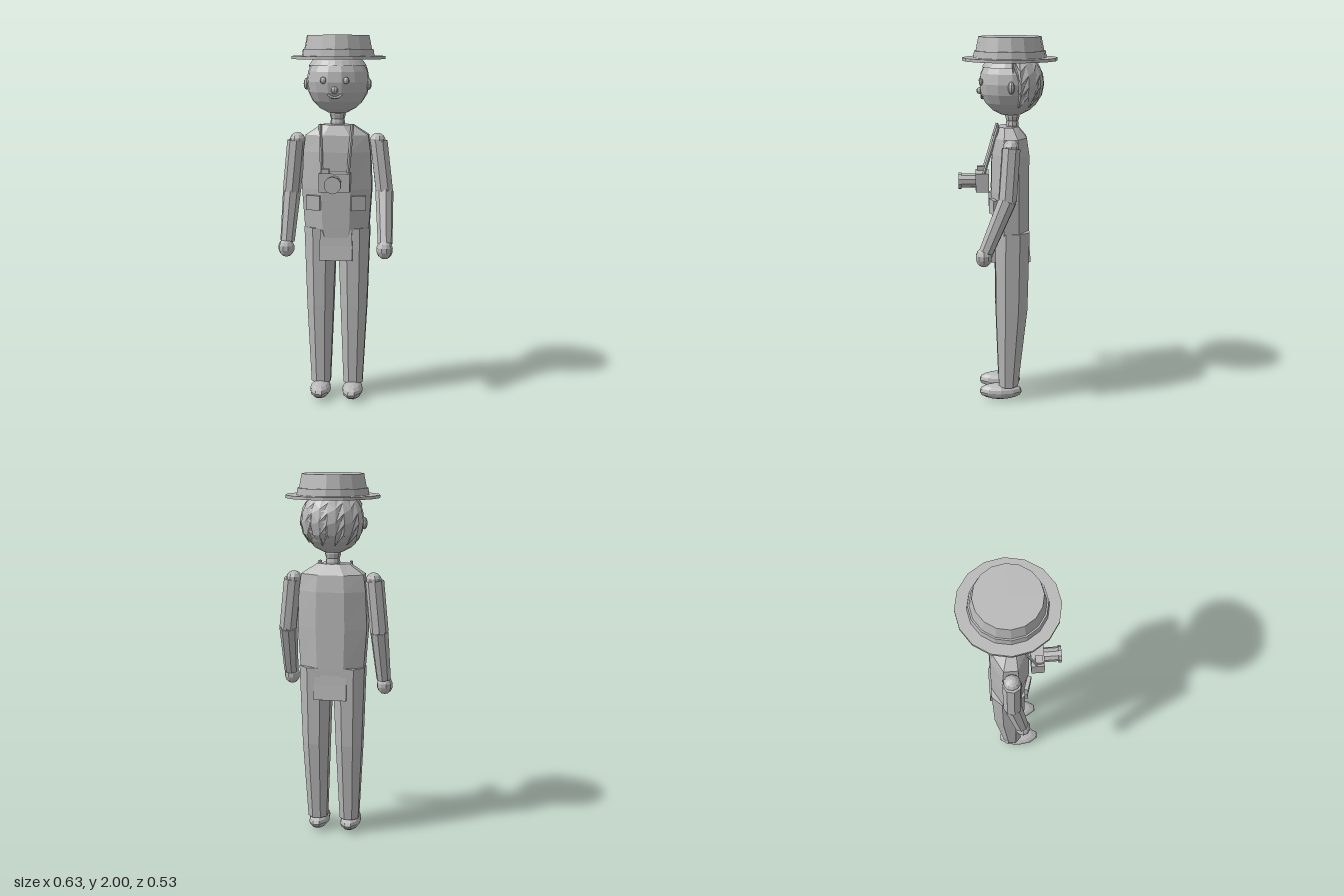
import * as THREE from 'three';

const grey = new THREE.MeshStandardMaterial({ color: 0xb8b8b8, flatShading: true, side: THREE.DoubleSide });
grey.name = 'plain grey';

function add(parent, name, geometry, x = 0, y = 0, z = 0) {
  const mesh = new THREE.Mesh(geometry, grey);
  mesh.name = name;
  mesh.position.set(x, y, z);
  parent.add(mesh);
  return mesh;
}

// Closed body through sections [y, x, z, halfWidth, halfDepth], listed from top to bottom
function loft(sections, sides) {
  const rows = sections.length - 1;
  const g = new THREE.CylinderGeometry(1, 1, 1, sides, rows, false, Math.PI / sides);
  const p = g.attributes.position;
  const fit = 1 / Math.cos(Math.PI / sides);
  for (let i = 0; i < p.count; i++) {
    const [y, x, z, rx, rz] = sections[Math.round((0.5 - p.getY(i)) * rows)];
    p.setXYZ(i, x + p.getX(i) * rx * fit, y, z + p.getZ(i) * rz * fit);
  }
  g.computeVertexNormals();
  return g;
}

const ball = (rx, ry, rz, w = 10, h = 7) => new THREE.SphereGeometry(1, w, h).scale(rx, ry, rz);

// Tapered rod between two points
function rod(parent, name, a, b, ra, rb, sides = 8) {
  const from = new THREE.Vector3(...a), to = new THREE.Vector3(...b);
  const dir = to.clone().sub(from);
  const mesh = add(parent, name, new THREE.CylinderGeometry(rb, ra, dir.length(), sides));
  mesh.position.copy(from).add(to).multiplyScalar(0.5);
  mesh.quaternion.setFromUnitVectors(new THREE.Vector3(0, 1, 0), dir.normalize());
  return mesh;
}

// Hair shell: short fringe in front, zigzag locks at the back
function hairGeometry(r) {
  const columns = 24, rows = 6;
  const g = new THREE.CylinderGeometry(1, 1, 1, columns, rows, true);
  const p = g.attributes.position;
  for (let i = 0; i < p.count; i++) {
    const column = i % (columns + 1);
    const phi = (column / columns) * Math.PI * 2;
    const back = Math.cos(phi) < -0.05;
    const rim = back ? (column % 2 ? 2.35 : 1.95) : 1.07;
    const theta = (0.5 - p.getY(i)) * rim;
    p.setXYZ(i, r * Math.sin(theta) * Math.sin(phi), r * Math.cos(theta), r * Math.sin(theta) * Math.cos(phi));
  }
  g.computeVertexNormals();
  return g;
}

function buildHead() {
  const head = new THREE.Group();
  head.name = 'head';
  add(head, 'skull', ball(0.168, 0.175, 0.173, 14, 10), 0, 1.755, -0.02);
  add(head, 'hair', hairGeometry(0.177), 0, 1.755, -0.02);
  add(head, 'nose', ball(0.019, 0.019, 0.019, 8, 6), 0, 1.715, 0.146);
  for (const s of [1, -1]) {
    add(head, 'eye', ball(0.018, 0.018, 0.012, 8, 6), s * 0.06, 1.765, 0.14);
    add(head, 'ear', ball(0.018, 0.033, 0.018, 8, 6), s * 0.166, 1.742, -0.015);
  }
  const smile = new THREE.TorusGeometry(0.05, 0.008, 5, 8, 1.75).rotateZ(-Math.PI / 2 - 0.875);
  add(head, 'mouth', smile, 0, 1.725, 0.134);
  add(head, 'upperNeck', ball(0.044, 0.045, 0.04, 10, 6), 0, 1.58, -0.027);
  add(head, 'lowerNeck', ball(0.04, 0.05, 0.036, 10, 6), 0, 1.535, -0.027);
  return head;
}

function buildHat() {
  const hat = new THREE.Group();
  hat.name = 'hat';
  hat.position.set(0.003, 0, -0.014);
  add(hat, 'brim', new THREE.CylinderGeometry(0.253, 0.253, 0.016, 16), 0, 1.882, 0);
  add(hat, 'hatBand', new THREE.CylinderGeometry(0.19, 0.195, 0.036, 16), 0, 1.908, 0);
  add(hat, 'crown', new THREE.CylinderGeometry(0.167, 0.189, 0.11, 16), 0, 1.945, 0);
  return hat;
}

function buildTorso() {
  const torso = new THREE.Group();
  torso.name = 'torso';
  add(torso, 'jacket', loft([
    [1.525, 0, -0.005, 0.088, 0.052],
    [1.47, 0, -0.014, 0.17, 0.088],
    [1.38, 0, -0.015, 0.182, 0.1],
    [1.18, 0, -0.013, 0.19, 0.102],
    [0.96, 0, -0.017, 0.175, 0.098],
    [0.87, 0, -0.018, 0.12, 0.095],
  ], 8));
  // Flared hip piece between the legs
  add(torso, 'hipFlap', loft([
    [0.96, 0, -0.018, 0.085, 0.094],
    [0.87, 0, -0.018, 0.09, 0.1],
    [0.79, 0, -0.017, 0.09, 0.108],
  ], 4));
  for (const s of [1, -1]) {
    const pocket = add(torso, 'pocket', new THREE.BoxGeometry(0.08, 0.08, 0.022), s * 0.122, 1.107, 0.08);
    pocket.rotation.y = s * 0.3;
  }
  return torso;
}

function buildCamera() {
  const camera = new THREE.Group();
  camera.name = 'neckCamera';
  add(camera, 'cameraBody', new THREE.BoxGeometry(0.165, 0.1, 0.07), 0, 1.228, 0.137);
  add(camera, 'lensBarrel', new THREE.CylinderGeometry(0.039, 0.039, 0.09, 10).rotateX(Math.PI / 2), 0, 1.228, 0.212);
  add(camera, 'lensRim', new THREE.CylinderGeometry(0.046, 0.046, 0.016, 10).rotateX(Math.PI / 2), 0, 1.228, 0.257);
  add(camera, 'shutterButton', new THREE.BoxGeometry(0.042, 0.024, 0.04), -0.05, 1.288, 0.143);
  for (const s of [1, -1]) {
    rod(camera, 'strap', [s * 0.07, 1.27, 0.13], [s * 0.087, 1.53, 0.052], 0.009, 0.009, 4);
  }
  return camera;
}

function buildArm(name, shoulder, elbow, wrist, hand) {
  const arm = new THREE.Group();
  arm.name = name;
  add(arm, 'shoulder', ball(0.043, 0.04, 0.045), shoulder[0] * 0.97, shoulder[1] + 0.005, shoulder[2]);
  rod(arm, 'upperArm', shoulder, elbow, 0.05, 0.05);
  add(arm, 'elbow', ball(0.047, 0.045, 0.047, 8, 6), ...elbow);
  rod(arm, 'forearm', elbow, wrist, 0.05, 0.04);
  add(arm, 'hand', ball(0.045, 0.052, 0.044), ...hand);
  return arm;
}

function buildLeg(s) {
  const leg = new THREE.Group();
  leg.name = s > 0 ? 'leftLeg' : 'rightLeg';
  add(leg, 'trouserLeg', loft([
    [0.965, s * 0.092, -0.024, 0.088, 0.092],
    [0.53, s * 0.093, -0.02, 0.073, 0.086],
    [0.08, s * 0.09, -0.003, 0.053, 0.053],
  ], 8));
  add(leg, 'shoe', ball(0.058, 0.045, 0.122, 10, 8), s * 0.09, 0.046, 0.04);
  return leg;
}

export function createModel() {
  const model = new THREE.Group();
  model.name = 'figureWithHat';
  model.add(
    buildHead(), buildHat(), buildTorso(), buildCamera(), buildLeg(1), buildLeg(-1),
    buildArm('leftArm', [0.225, 1.435, -0.012], [0.258, 1.165, 0.008], [0.27, 0.895, 0.12], [0.268, 0.866, 0.133]),
    buildArm('rightArm', [-0.225, 1.435, -0.012], [-0.252, 1.155, -0.01], [-0.272, 0.885, 0.035], [-0.277, 0.85, 0.044]),
  );
  return model;
}
